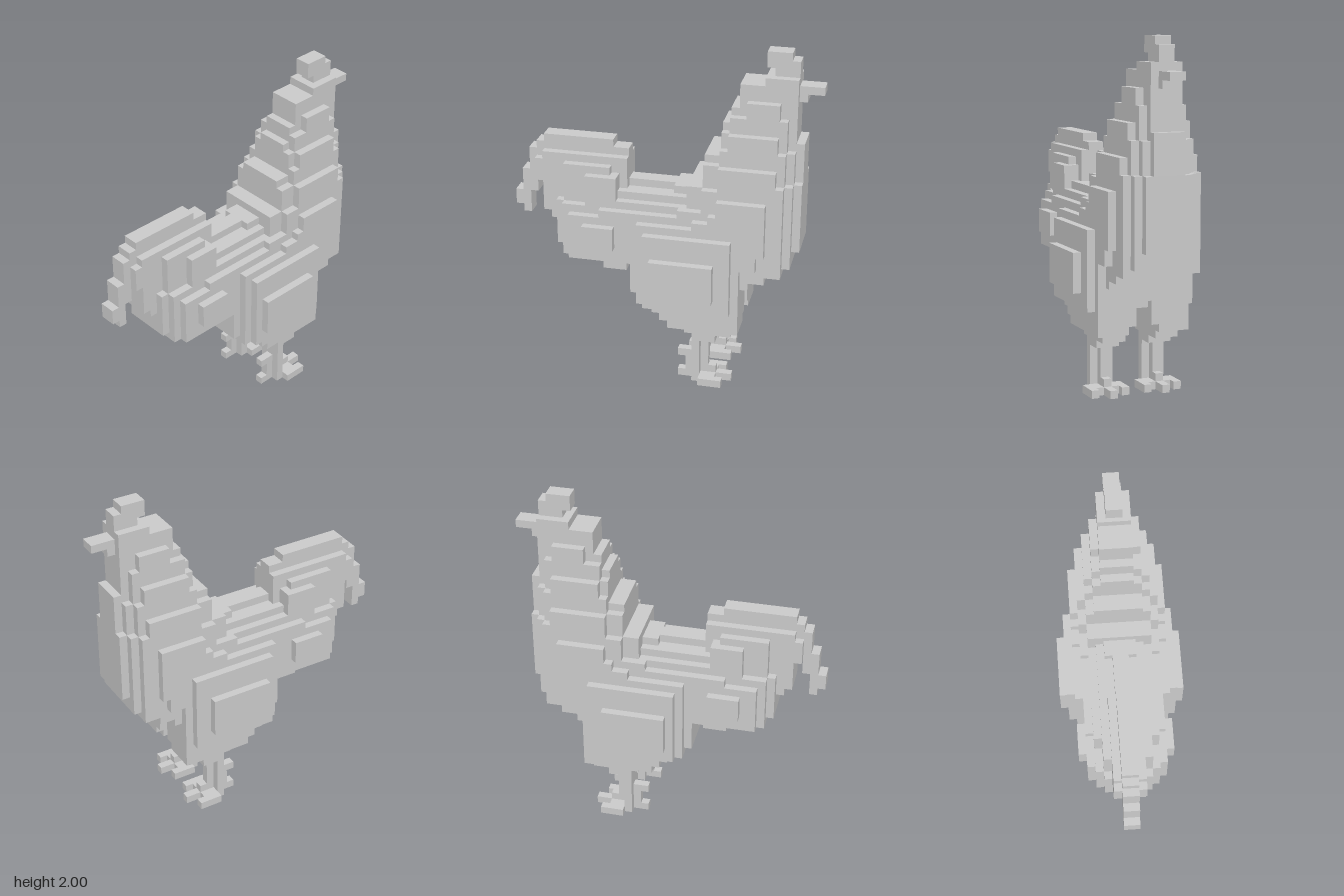
import * as THREE from 'three';

const U = 2 / 44; // one block
const material = new THREE.MeshStandardMaterial({ color: 0xcccccc, flatShading: true });

// Stepped side outline extruded from x0 to x1 (in blocks). It starts at (j, y) and
// turns a corner at each following value: y, j, y, j ... j counts from tail to beak.
function slab(name, x0, x1, j, y, ...turns) {
  const points = [new THREE.Vector2((19.5 - j) * U, y * U)];
  turns.forEach((v, i) => {
    if (i % 2) j = v; else y = v;
    points.push(new THREE.Vector2((19.5 - j) * U, y * U));
  });
  const geometry = new THREE.ExtrudeGeometry(new THREE.Shape(points), { depth: (x1 - x0) * U, bevelEnabled: false });
  geometry.rotateY(-Math.PI / 2).translate(x1 * U, 0, 0);
  const mesh = new THREE.Mesh(geometry, material);
  mesh.name = name;
  return mesh;
}

export function createModel() {
  const model = new THREE.Group();
  model.name = 'rooster';

  // Parts centred on x = 0, with half width w
  const part = (name, w, ...outline) => model.add(slab(name, -w, w, ...outline));
  const block = (name, w, j0, y0, j1, y1) => part(name, w, j0, y0, y1, j1, y0);

  // Body
  part('body', 5, 8, 16, 22, 12, 23, 22, 24, 25, 27, 27, 30, 34, 28, 35, 16, 33, 15, 31, 14, 30, 12, 16, 16);
  part('breast', 6, 17, 12, 22, 24, 23, 26, 24, 27, 26, 33, 19, 32, 17, 30, 12);
  block('wing', 7, 18, 11, 29, 21);
  block('wingCentre', 8, 19, 13, 27, 18);
  block('back', 3, 14, 23, 23, 25);
  block('backRidge', 1, 14, 24, 23, 26);
  block('backRidgeBase', 2, 21, 24, 23, 26);
  part('vent', 3, 12, 14, 16, 16, 15, 15, 14);

  // Tail
  part('tailBase', 4, 7, 16, 23, 10, 27, 14, 24, 23, 27, 25, 16);
  part('innerTail', 3, 6, 17, 23, 7, 28, 13, 27, 14, 17);
  part('tailFan', 2, 6, 17, 20, 5, 21, 4, 25, 3, 28, 4, 29, 15, 17);
  part('tailPlume', 1, 1, 20, 21, 0, 23, 1, 26, 2, 29, 3, 30, 4, 31, 13, 30, 15, 25, 3, 23, 2, 20);
  block('tailSide', 6, 10, 18, 14, 21);

  // Neck and head
  part('lowerNeck', 4, 25, 17, 30, 27, 32, 28, 34, 34, 32, 35, 28, 36, 17);
  block('collar', 3, 25, 27, 27, 31);
  part('upperNeck', 3, 27, 28, 34, 28, 36, 30, 38, 34, 36, 35, 32, 36, 28);
  block('breastPlate', 3, 36, 19, 37, 28);
  block('throat', 2, 36, 28, 37, 33);
  part('head', 2, 27, 30, 35, 28, 37, 29, 40, 32, 41, 36, 30);
  part('comb', 1, 33, 40, 42, 32, 44, 35, 43, 36, 40);
  part('beak', 1, 36, 38, 40, 39, 39, 37, 38);

  // Legs and feet, mirrored
  for (const side of [1, -1]) {
    const leg = new THREE.Group();
    leg.name = side > 0 ? 'leftLeg' : 'rightLeg';
    const limb = (name, a, b, ...outline) =>
      leg.add(slab(name, Math.min(side * a, side * b), Math.max(side * a, side * b), ...outline));
    limb('thigh', 1, 6, 20, 9, 10, 19, 11, 17, 13, 30, 9);
    limb('lowerThigh', 2, 6, 21, 8, 9, 30, 8);
    limb('shankAndFoot', 2, 5, 24, 0, 7, 23, 8, 29, 7, 27, 6, 25, 1, 27, 0);
    limb('spurAndMiddleToe', 3, 4, 22, 0, 1, 23, 3, 22, 4, 24, 6, 26, 2, 27, 1, 29, 0);
    for (const x of [1, 5]) limb('sideToe', x, x + 1, 25, 0, 1, 28, 0);
    model.add(leg);
  }
  return model;
}
